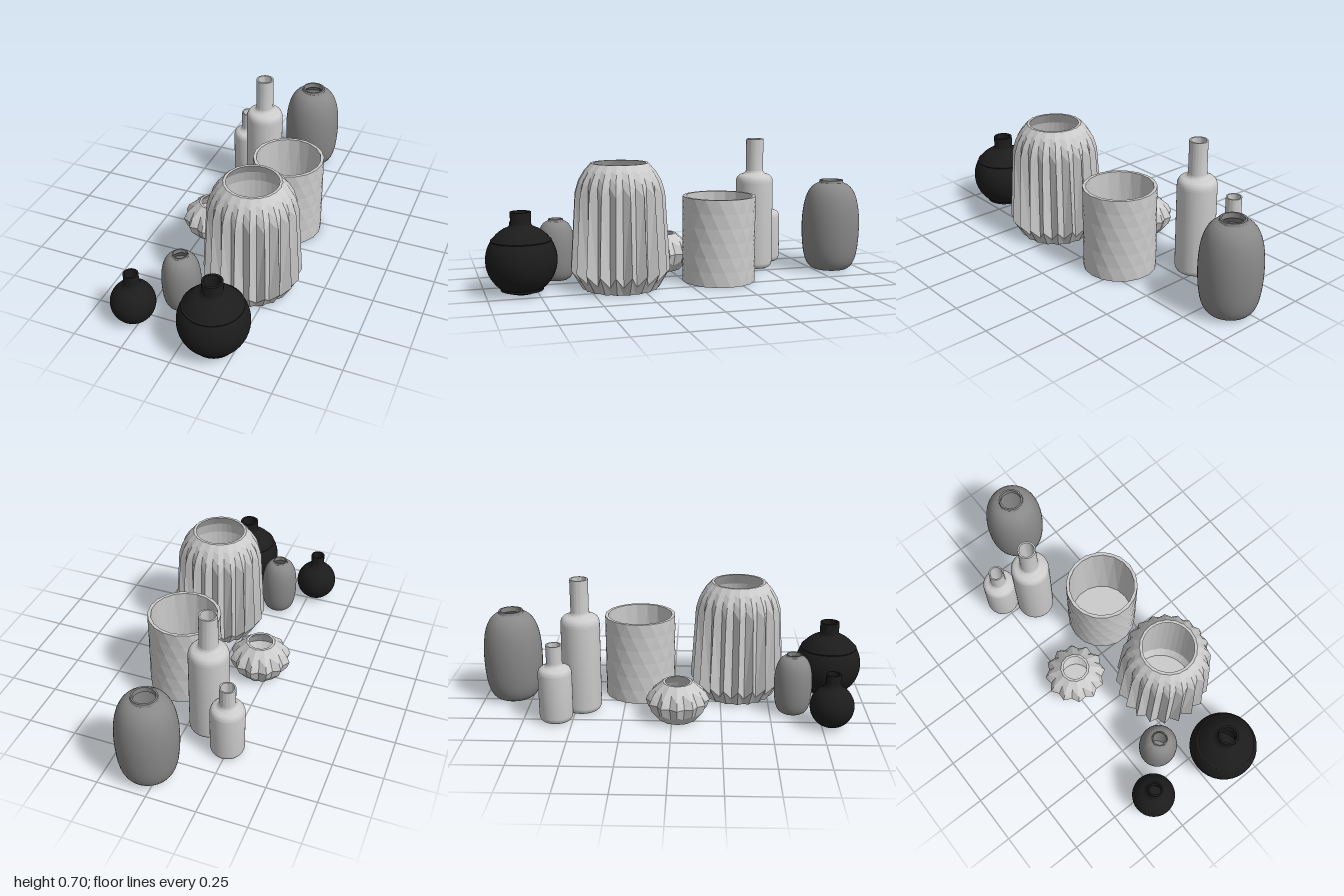
import * as THREE from 'three';
import { toCreasedNormals } from 'three/addons/utils/BufferGeometryUtils.js';

const LIGHT = 0xcccccc, GREY = 0x888888, BLACK = 0x1c1c1c;

function place(group, name, geometry, color, x, z, flatShading = false) {
  const material = new THREE.MeshStandardMaterial({ color, flatShading, side: THREE.DoubleSide });
  const mesh = new THREE.Mesh(geometry, material);
  mesh.name = name;
  mesh.position.set(x, 0, z);
  group.add(mesh);
}

// Smooth turned vessel: draw(path) traces the outside up to the rim,
// then the path returns down the inside of the neck to a hollow body.
function turned(draw, rimY, innerR, bodyR, shoulderY, floorY = 0.02) {
  const path = new THREE.Path();
  path.moveTo(0, 0);
  draw(path);
  path.lineTo(innerR, rimY);
  path.lineTo(innerR, shoulderY);
  path.lineTo(bodyR, shoulderY - 0.06);
  path.lineTo(bodyR * 0.7, floorY);
  path.lineTo(0, floorY);
  return toCreasedNormals(new THREE.LatheGeometry(path.getPoints(10), 48), 0.6);
}

// Ball-shaped body with a narrow straight neck
function ballVase(r, centreY, neckR, neckY, top) {
  return turned(p => {
    const a0 = -Math.asin(centreY / r), a1 = Math.acos(neckR * 1.7 / r);
    p.lineTo(r * Math.cos(a0), 0);
    p.absarc(0, centreY, r, a0, a1, false);
    p.quadraticCurveTo(neckR, centreY + r * Math.sin(a1) + 0.012, neckR, neckY);
    p.lineTo(neckR, top);
  }, top, neckR * 0.78, r * 0.85, neckY - 0.02);
}

// Straight bottle with rounded foot, rounded shoulder and long neck
function bottle(r, bodyY, shoulderY, neckR, top) {
  return turned(p => {
    p.lineTo(r - 0.035, 0);
    p.quadraticCurveTo(r, 0, r, 0.04);
    p.lineTo(r, bodyY);
    p.quadraticCurveTo(r, shoulderY - 0.008, r * 0.72, shoulderY);
    p.quadraticCurveTo(neckR, shoulderY + 0.005, neckR, shoulderY + 0.025);
    p.lineTo(neckR, top);
  }, top, neckR * 0.82, r * 0.88, bodyY);
}

// Tall egg-shaped body with a short lip
function eggVase(r, h, footR, lipR) {
  const lipY = h * 0.965;
  return turned(p => {
    p.lineTo(footR, 0);
    p.bezierCurveTo(r * 0.85, 0.005, r * 0.98, h * 0.16, r, h * 0.46);
    p.bezierCurveTo(r * 1.01, h * 0.72, r * 0.86, h * 0.93, lipR * 1.12, lipY);
    p.quadraticCurveTo(lipR, lipY, lipR, h);
  }, h, lipR * 0.86, r * 0.85, lipY - 0.01);
}

// Skin between closed rings of equal point count; flip(j, i) picks the diagonal
function loft(rings, flip) {
  const out = [];
  const tri = (...corners) => {
    const [a, b, c] = corners;
    const area = new THREE.Vector3().crossVectors(b.clone().sub(a), c.clone().sub(a)).length();
    if (area > 1e-9) corners.forEach(v => out.push(v.x, v.y, v.z));
  };
  for (let j = 0; j < rings.length - 1; j++) {
    const n = rings[j].length;
    for (let i = 0; i < n; i++) {
      const k = (i + 1) % n;
      const a = rings[j][i], b = rings[j][k], c = rings[j + 1][k], d = rings[j + 1][i];
      if (flip(j, i)) { tri(a, c, d); tri(a, b, c); }
      else { tri(a, b, d); tri(b, c, d); }
    }
  }
  const g = new THREE.BufferGeometry();
  g.setAttribute('position', new THREE.Float32BufferAttribute(out, 3));
  g.computeVertexNormals();
  return g;
}

const polar = (r, y, a) => new THREE.Vector3(r * Math.sin(a), y, r * Math.cos(a));

// Pleated vessel: ridge and valley profiles alternate around the axis
function pleated(ribs, ridge, valley, inside) {
  const both = inside.map(p => [p, p]);
  const pairs = [[[0, 0], [0, 0]], ...ridge.map((p, j) => [p, valley[j]]), ...both];
  const rings = pairs.map(pair => Array.from({ length: ribs * 2 }, (_, i) => {
    const [r, y] = pair[i % 2];
    return polar(r, y, i * Math.PI / ribs);
  }));
  return loft(rings, (j, i) => i % 2 === 1);
}

// Faceted pot: every other ring is turned by half a step
function facetedPot(n, rows, r, h) {
  const profile = [[0, 0]];
  for (let j = 0; j <= rows; j++) profile.push([r, h * j / rows]);
  profile.push([r * 0.91, h], [r * 0.91, 0.02], [0, 0.02]);
  const rings = profile.map(([pr, y], j) => Array.from({ length: n }, (_, i) =>
    polar(pr, y, (i + (j % 2) / 2) * 2 * Math.PI / n)));
  return loft(rings, j => j % 2 === 1);
}

export function createModel() {
  const group = new THREE.Group();
  group.name = 'vaseCollection';

  // Round black vases
  place(group, 'largeBallVase', ballVase(0.172, 0.168, 0.05, 0.345, 0.4), BLACK, 0.148, 0.826);
  place(group, 'smallBallVase', ballVase(0.11, 0.109, 0.037, 0.24, 0.28), BLACK, -0.285, 0.796);

  // Grey egg vases
  place(group, 'largeEggVase', eggVase(0.153, 0.483, 0.075, 0.062), GREY, 0.05, -0.847);
  place(group, 'smallEggVase', eggVase(0.097, 0.315, 0.05, 0.038), GREY, -0.113, 0.617);

  // Bottles
  place(group, 'tallBottle', bottle(0.099, 0.465, 0.51, 0.046, 0.7), LIGHT, -0.106, -0.466);
  place(group, 'shortBottle', bottle(0.085, 0.25, 0.287, 0.04, 0.402), LIGHT, -0.246, -0.583);

  // Large pleated vase
  place(group, 'largePleatedVase', pleated(20,
    [[0.19, 0], [0.247, 0.095], [0.222, 0.475], [0.204, 0.535], [0.177, 0.58], [0.142, 0.62]],
    [[0.178, 0], [0.205, 0.04], [0.196, 0.52], [0.181, 0.56], [0.162, 0.593], [0.139, 0.62]],
    [[0.127, 0.62], [0.165, 0.56], [0.18, 0.5], [0.185, 0.06], [0.16, 0.02], [0, 0.02]],
  ), LIGHT, 0.145, 0.339, true);

  // Low pleated bowl
  place(group, 'lowPleatedBowl', pleated(12,
    [[0.098, 0], [0.148, 0.06], [0.162, 0.1], [0.145, 0.137], [0.076, 0.197]],
    [[0.092, 0], [0.122, 0.038], [0.142, 0.1], [0.108, 0.163], [0.073, 0.197]],
    [[0.062, 0.197], [0.1, 0.15], [0.125, 0.1], [0.08, 0.015], [0, 0.015]],
  ), LIGHT, -0.202, 0.029, true);

  // Open pot with a triangular facet pattern
  place(group, 'facetedPot', facetedPot(18, 6, 0.186, 0.437), LIGHT, 0.14, -0.178, true);

  return group;
}
